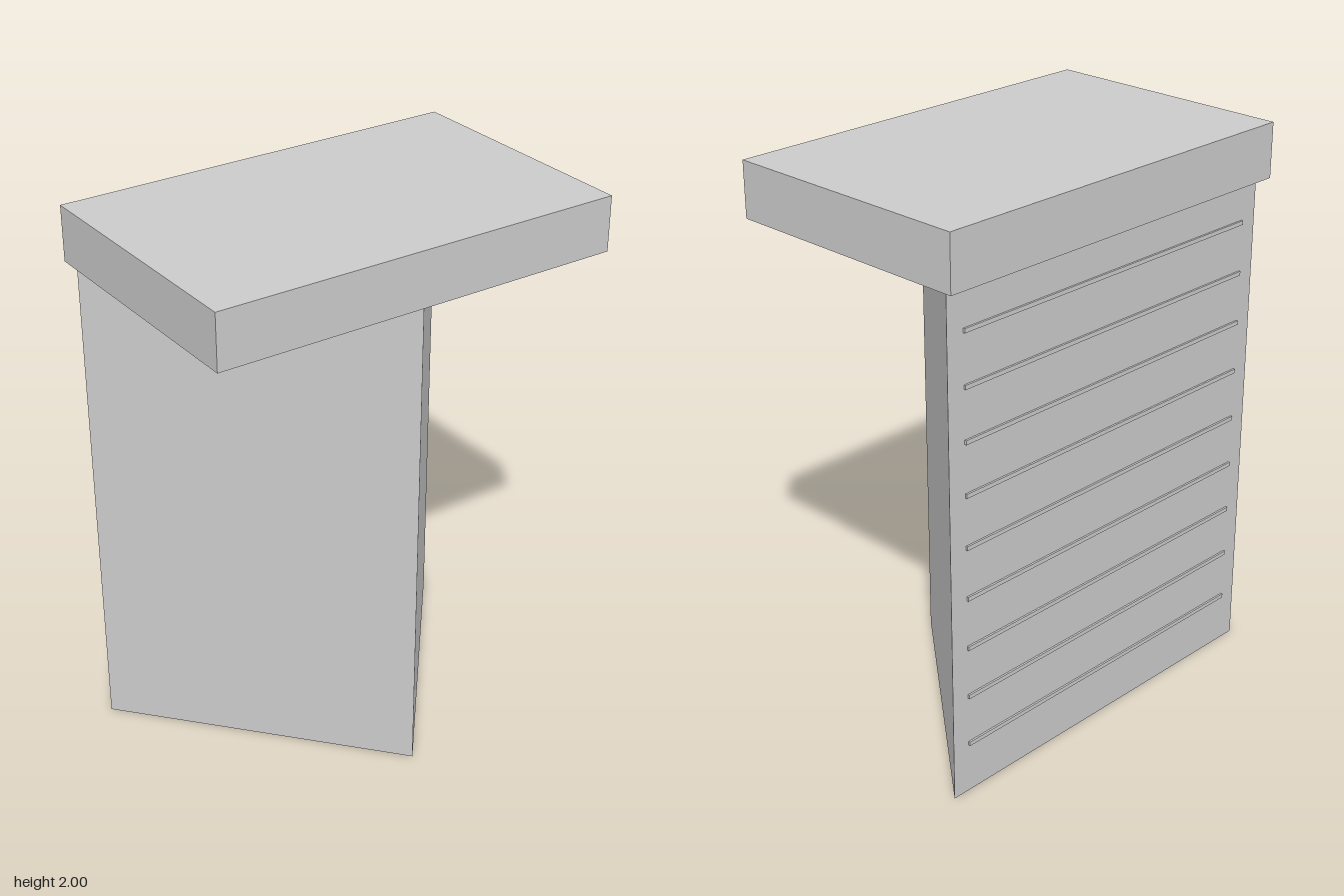
import * as THREE from 'three';

const CAP_BOTTOM = 1.805;
const BACK = -0.427;

export function createModel() {
  const model = new THREE.Group();
  const material = new THREE.MeshStandardMaterial({ color: 0xcccccc, flatShading: true });

  const add = (name, geometry, x, y, z, parent = model) => {
    const mesh = new THREE.Mesh(geometry, material);
    mesh.name = name;
    mesh.position.set(x, y, z);
    parent.add(mesh);
  };

  // Triangular pillar: plan drawn in x and -z, then stood upright
  const plan = new THREE.Shape([
    new THREE.Vector2(-0.725, -BACK),
    new THREE.Vector2(0.03, -0.428),
    new THREE.Vector2(0.725, -BACK),
  ]);
  const pillar = new THREE.ExtrudeGeometry(plan, { depth: CAP_BOTTOM, bevelEnabled: false });
  pillar.rotateX(-Math.PI / 2);
  add('pillar', pillar, 0, 0, 0);

  // Overhanging rectangular slab on top
  const capHeight = 2 - CAP_BOTTOM;
  add('cap', new THREE.BoxGeometry(1.492, capHeight, 0.94), 0, 2 - capHeight / 2, 0);

  // Nine slim horizontal ribs on the back face
  const ribs = new THREE.Group();
  ribs.name = 'backRibs';
  const ribGeometry = new THREE.BoxGeometry(1.315, 0.015, 0.014);
  for (let i = 0; i < 9; i++) add('rib', ribGeometry, 0, 0.187 + i * 0.184, BACK, ribs);
  model.add(ribs);

  return model;
}
